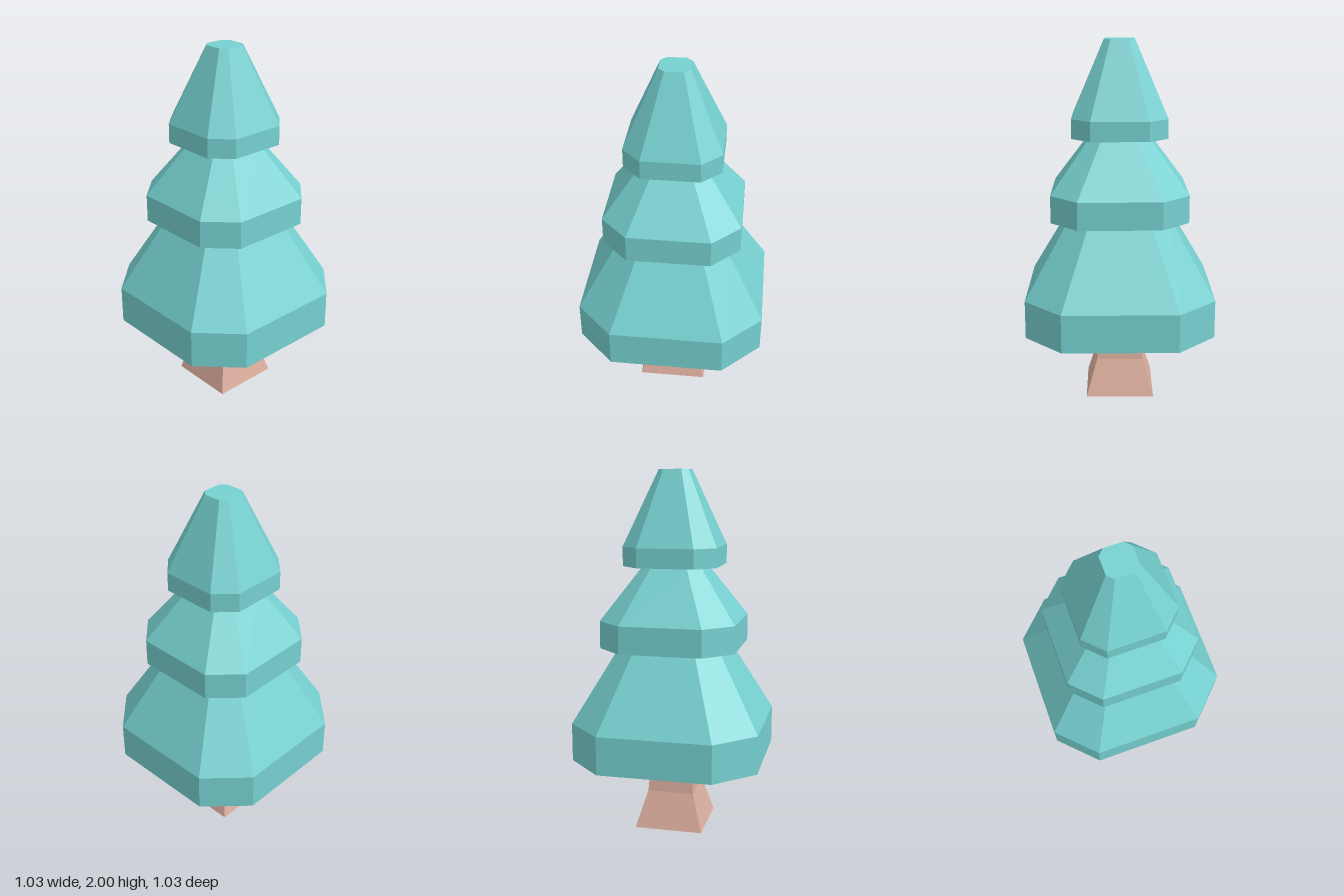
import * as THREE from 'three';

// Corners of the unit outlines (x, z), in order of rising angle
const SQUARE = [[1, -1], [1, 1], [-1, 1], [-1, -1]];
const C = 0.6;
const OCTAGON = [[1, -C], [1, C], [C, 1], [-C, 1], [-1, C], [-1, -C], [-C, -1], [C, -1]];

// Skins an outline through rings of [half width, height]; half width 0 closes an end
function loft(name, outline, rings, material) {
  const positions = [];
  const corner = ([w, y], i) => {
    const [x, z] = outline[i % outline.length];
    return [x * w, y, z * w];
  };
  for (let r = 0; r < rings.length - 1; r++) {
    const low = rings[r], high = rings[r + 1];
    for (let i = 0; i < outline.length; i++) {
      const a = corner(low, i), b = corner(low, i + 1);
      const c = corner(high, i), d = corner(high, i + 1);
      if (low[0] > 0) positions.push(...a, ...c, ...b);
      if (high[0] > 0) positions.push(...b, ...c, ...d);
    }
  }
  const geometry = new THREE.BufferGeometry();
  geometry.setAttribute('position', new THREE.Float32BufferAttribute(positions, 3));
  geometry.computeVertexNormals();
  const mesh = new THREE.Mesh(geometry, material);
  mesh.name = name;
  return mesh;
}

export function createModel() {
  const tree = new THREE.Group();
  tree.name = 'tree';
  const bark = new THREE.MeshStandardMaterial({ color: 0xdcae9e, flatShading: true });
  const needles = new THREE.MeshStandardMaterial({ color: 0x76d0d0, flatShading: true });

  // Square trunk flaring towards the ground
  tree.add(loft('trunk', SQUARE, [[0, 0], [0.19, 0], [0.13, 0.205], [0.112, 0.415]], bark));

  // Tiers: underside, upright rim, sloping sides up to the next tier
  tree.add(loft('lowerTier', OCTAGON,
    [[0, 0.415], [0.515, 0.415], [0.515, 0.625], [0.28, 1.04]], needles));
  tree.add(loft('middleTier', OCTAGON,
    [[0.28, 1.04], [0.372, 1.04], [0.372, 1.19], [0.16, 1.485]], needles));
  tree.add(loft('upperTier', OCTAGON,
    [[0.16, 1.485], [0.258, 1.485], [0.258, 1.59], [0.082, 2], [0, 2]], needles));

  return tree;
}
